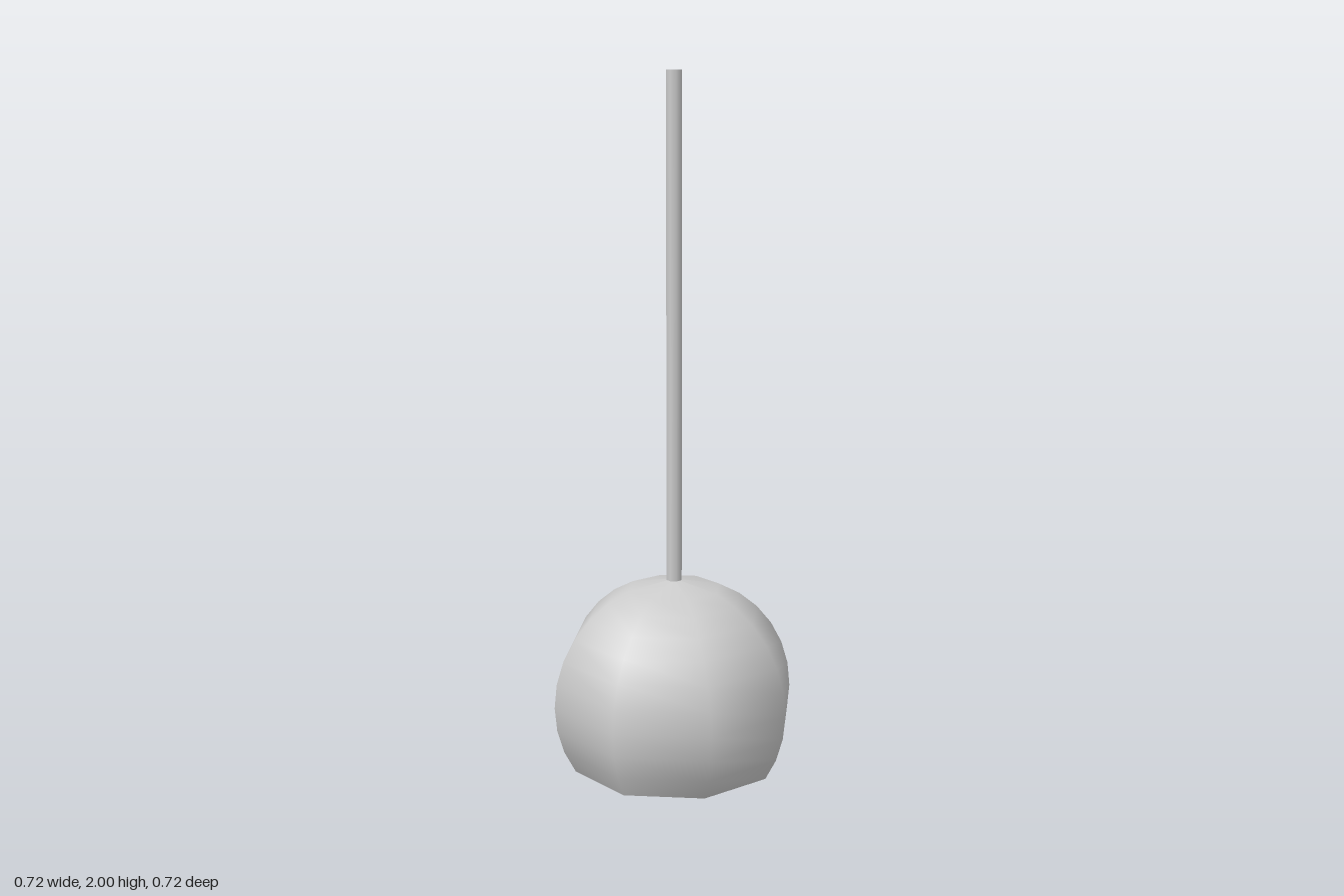
import * as THREE from 'three';

const SIDES = 8, RADIUS = 0.358, CENTRE = 0.199, WALL = 0.008, STEP = Math.PI / 16;

// Profile of the globe from its open rim (bottom) up to the pole
function globeProfile(radius) {
  const points = [];
  for (let i = 11; i >= 2; i--) {
    points.push(new THREE.Vector2(radius * Math.sin(i * STEP), CENTRE + RADIUS * Math.cos(i * STEP)));
  }
  points[0].y = 0;
  points.push(new THREE.Vector2(0, CENTRE + radius));
  return points;
}

export function createModel() {
  const group = new THREE.Group();
  const grey = new THREE.MeshStandardMaterial({ color: 0xcccccc, side: THREE.DoubleSide });
  grey.name = 'light grey';

  const add = (name, geometry) => {
    const mesh = new THREE.Mesh(geometry, grey);
    mesh.name = name;
    group.add(mesh);
    return mesh;
  };

  // Smooth eight-sided globe shade, open at the bottom
  const outer = globeProfile(RADIUS);
  const inner = globeProfile(RADIUS - WALL);
  add('shadeOutside', new THREE.LatheGeometry(outer, SIDES));
  add('shadeInside', new THREE.LatheGeometry(inner.slice().reverse(), SIDES));
  add('shadeRim', new THREE.LatheGeometry([inner[0], outer[0]], SIDES));

  // Hanging rod: an open tube from the top of the shade
  const bottom = CENTRE + RADIUS - 0.003;
  const rod = add('rod', new THREE.CylinderGeometry(0.023, 0.023, 2 - bottom, SIDES, 1, true));
  rod.position.y = (2 + bottom) / 2;

  return group;
}
